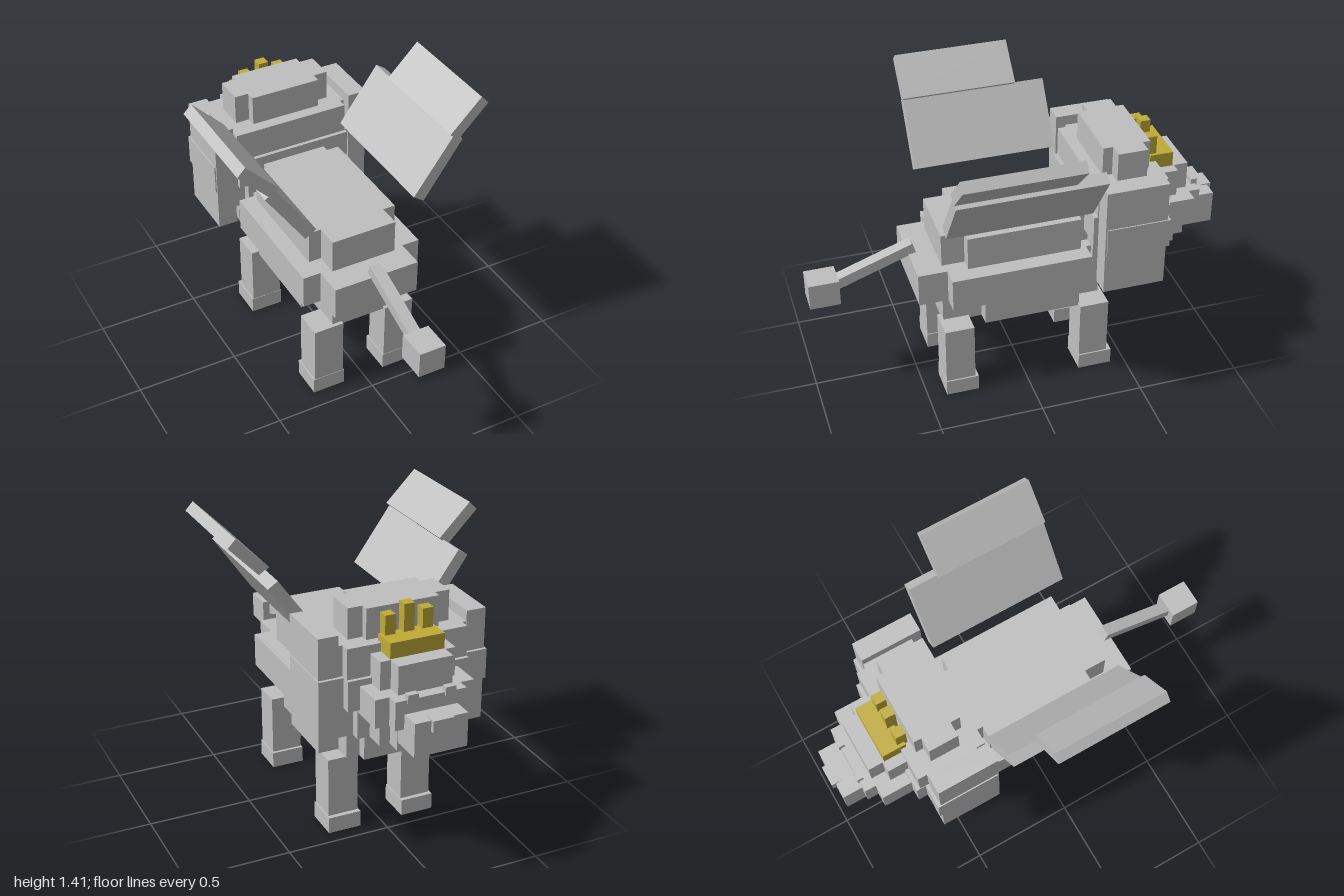
import * as THREE from 'three';

export function createModel() {
  const stone = new THREE.MeshStandardMaterial({ color: 0xbfbfbf });
  stone.name = 'stone grey';
  const gold = new THREE.MeshStandardMaterial({ color: 0xbfab38 });
  gold.name = 'gold';

  const model = new THREE.Group();
  model.name = 'wingedBeast';

  const part = (name) => {
    const g = new THREE.Group();
    g.name = name;
    model.add(g);
    return g;
  };

  // Box given by its extents on each axis
  const block = (parent, name, [x0, x1], [y0, y1], [z0, z1], mat = stone) => {
    const mesh = new THREE.Mesh(new THREE.BoxGeometry(x1 - x0, y1 - y0, z1 - z0), mat);
    mesh.position.set((x0 + x1) / 2, (y0 + y1) / 2, (z0 + z1) / 2);
    mesh.name = name;
    parent.add(mesh);
    return mesh;
  };

  // Layer with notched corners: a wide short box crossed with a narrow long one
  const layer = (parent, name, y, wide, wideZ, narrow, narrowZ) => {
    block(parent, name + 'Wide', [-wide, wide], y, wideZ);
    block(parent, name + 'Long', [-narrow, narrow], y, narrowZ);
  };

  // Straight prism from a four-cornered outline in the xy plane
  const slab = (parent, name, corners, z0, z1) => {
    const shape = new THREE.Shape(corners.map(([x, y]) => new THREE.Vector2(x, y)));
    const geo = new THREE.ExtrudeGeometry(shape, { depth: z1 - z0, bevelEnabled: false });
    const mesh = new THREE.Mesh(geo, stone);
    mesh.position.z = z0;
    mesh.name = name;
    parent.add(mesh);
  };

  // Body in three stacked layers
  const body = part('body');
  layer(body, 'belly', [0.36, 0.53], 0.225, [-0.2, 0.2], 0.16, [-0.39, 0.39]);
  block(body, 'bellyFront', [-0.225, 0.225], [0.36, 0.53], [-0.27, 0]);
  layer(body, 'flank', [0.53, 0.695], 0.303, [-0.3, 0.375], 0.215, [-0.4, 0.515]);
  layer(body, 'back', [0.695, 0.86], 0.225, [-0.27, 0.28], 0.163, [-0.33, 0.39]);

  // Legs with feet pointing forward
  for (const s of [-1, 1]) {
    for (const [name, z0, z1, toe] of [['backLeg', 0.265, 0.408, 0.25], ['frontLeg', -0.408, -0.265, -0.43]]) {
      const leg = part((s > 0 ? 'left' : 'right') + name[0].toUpperCase() + name.slice(1));
      const span = (a, b) => (s > 0 ? [a, b] : [-b, -a]);
      block(leg, 'shin', span(0.113, 0.263), [0.06, 0.375], [z0, z1]);
      block(leg, 'foot', span(0.108, 0.27), [0, 0.08], [toe, z1 + 0.002]);
    }
  }

  // Tail: sloping rod and square tuft
  const tail = part('tail');
  const rod = block(tail, 'tailRod', [-0.029, 0.029], [-0.026, 0.026], [-0.2, 0.2]);
  rod.position.set(0, 0.657, 0.675);
  rod.rotation.x = 0.345;
  block(tail, 'tailTuft', [-0.065, 0.065], [0.505, 0.635], [0.855, 1]);

  // Wings: two tilted panels on each side
  for (const s of [-1, 1]) {
    const wing = part(s > 0 ? 'leftWing' : 'rightWing');
    const side = (pts) => pts.map(([x, y]) => [s * x, y]);
    slab(wing, 'innerPanel', side([[0.303, 0.94], [0.494, 1.218], [0.446, 1.25], [0.25, 0.975]]), -0.295, 0.4);
    slab(wing, 'outerPanel', side([[0.468, 1.221], [0.618, 1.375], [0.58, 1.415], [0.427, 1.26]]), -0.15, 0.402);
  }

  // Mane: five stacked layers plus a tall slab on each side
  const mane = part('mane');
  layer(mane, 'maneBottom', [0.465, 0.61], 0.245, [-0.565, -0.435], 0.18, [-0.612, -0.383]);
  layer(mane, 'maneLower', [0.61, 0.76], 0.35, [-0.62, -0.37], 0.24, [-0.665, -0.325]);
  layer(mane, 'maneMiddle', [0.76, 0.905], 0.411, [-0.637, -0.33], 0.293, [-0.683, -0.306]);
  layer(mane, 'maneUpper', [0.905, 1.05], 0.35, [-0.62, -0.37], 0.29, [-0.665, -0.325]);
  layer(mane, 'maneTop', [1.05, 1.195], 0.245, [-0.575, -0.43], 0.175, [-0.612, -0.383]);
  for (const s of [-1, 1]) {
    block(mane, 'maneSide', s > 0 ? [0.31, 0.405] : [-0.405, -0.31], [0.557, 1.1], [-0.622, -0.322]);
  }

  // Face: three layers, muzzle, nose and eyes
  const head = part('head');
  layer(head, 'chin', [0.61, 0.74], 0.18, [-0.76, -0.5], 0.13, [-0.83, -0.5]);
  layer(head, 'cheeks', [0.74, 0.875], 0.237, [-0.83, -0.5], 0.17, [-0.885, -0.5]);
  layer(head, 'forehead', [0.875, 1.01], 0.18, [-0.76, -0.5], 0.13, [-0.83, -0.5]);
  block(head, 'muzzle', [-0.127, 0.127], [0.65, 0.81], [-0.98, -0.8]);
  block(head, 'nose', [-0.05, 0.05], [0.76, 0.815], [-1, -0.95]);
  for (const s of [-1, 1]) {
    block(head, 'eye', [s * 0.09 - 0.025, s * 0.09 + 0.025], [0.86, 0.9], [-0.893, -0.863]);
  }

  // Crown: band with three points
  const crown = part('crown');
  block(crown, 'crownBand', [-0.13, 0.13], [1.01, 1.083], [-0.752, -0.637], gold);
  for (const [x, top] of [[-0.09, 1.175], [0, 1.212], [0.09, 1.175]]) {
    block(crown, 'crownPoint', [x - 0.025, x + 0.025], [1.052, top], [-0.672, -0.622], gold);
  }

  return model;
}
